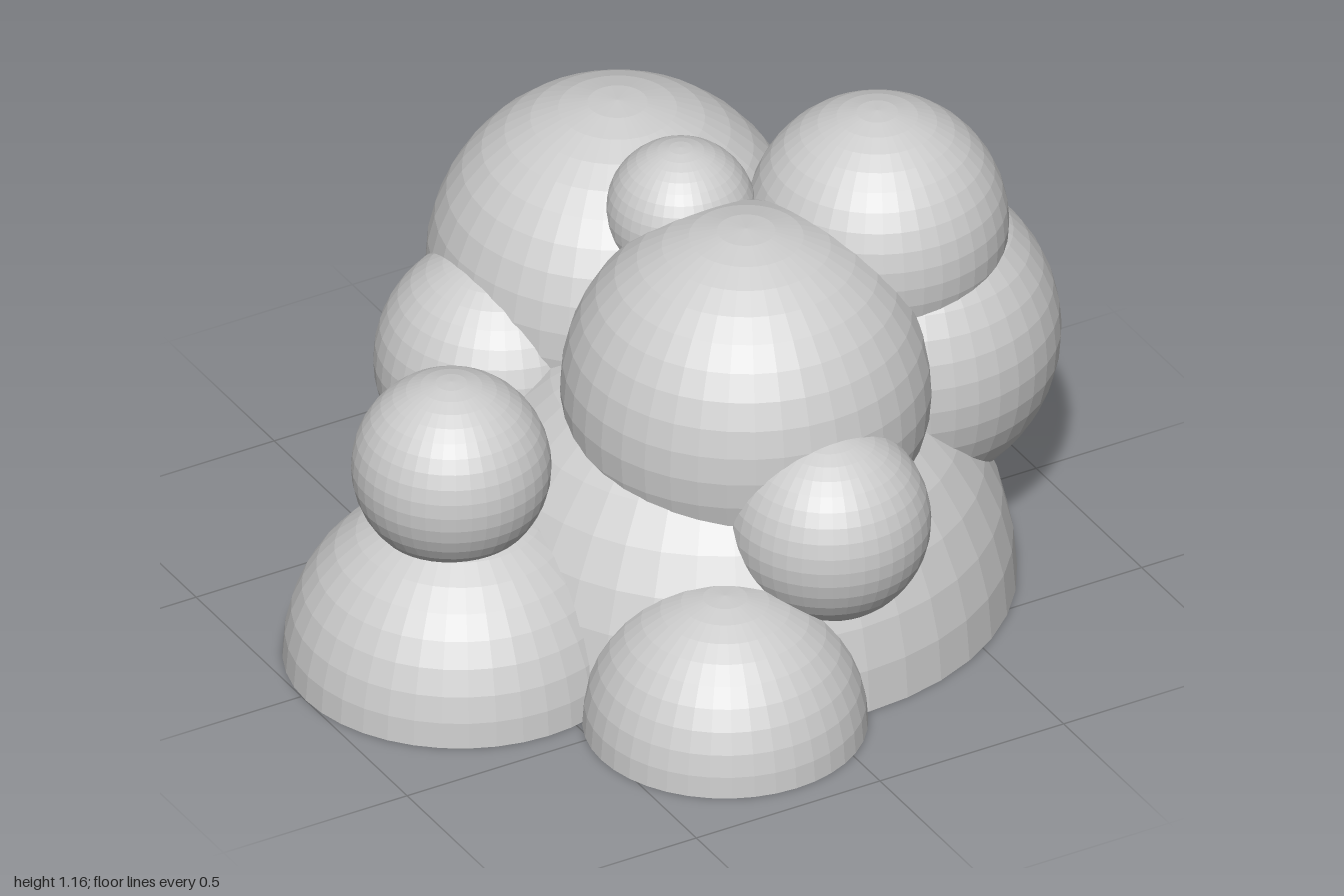
import * as THREE from 'three';

const material = new THREE.MeshStandardMaterial({ color: 0xcccccc, flatShading: true });
const COLUMNS = 40, ROWS = 20;

// Domes resting on the ground: name, radius, height, x, z
const domes = [
  ['baseDome', 0.695, 0.695, 0.13, 0.03],
  ['rightDome', 0.42, 0.42, -0.58, 0.02],
  ['frontDome', 0.338, 0.353, -0.187, 0.592],
];

// Full puffs stacked on the domes: name, radius, x, y, z
const puffs = [
  ['centrePuff', 0.44, 0.13, 0.59, 0.14],
  ['backPuff', 0.455, 0.135, 0.59, -0.478],
  ['backRightPuff', 0.3, -0.195, 0.435, -0.46],
  ['leftPuff', 0.388, 0.608, 0.536, 0.025],
  ['upperLeftPuff', 0.312, 0.553, 0.85, 0.025],
  ['smallRightPuff', 0.237, -0.605, 0.533, 0.022],
  ['smallFrontPuff', 0.243, 0.13, 0.43, 0.53],
  ['smallTopPuff', 0.18, 0.13, 0.905, -0.17],
];

// Half sphere closed by a flat underside
function makeDome(name, radius, height, x, z) {
  const dome = new THREE.Group();
  dome.name = name;
  const shell = new THREE.Mesh(
    new THREE.SphereGeometry(radius, COLUMNS, ROWS / 2, 0, Math.PI * 2, 0, Math.PI / 2), material);
  shell.name = name + 'Shell';
  shell.scale.y = height / radius;
  const underside = new THREE.Mesh(new THREE.CircleGeometry(radius, COLUMNS), material);
  underside.name = name + 'Underside';
  underside.rotation.x = Math.PI / 2;
  dome.add(shell, underside);
  dome.position.set(x, 0, z);
  return dome;
}

function makePuff(name, radius, x, y, z) {
  const puff = new THREE.Mesh(new THREE.SphereGeometry(radius, COLUMNS, ROWS), material);
  puff.name = name;
  puff.position.set(x, y, z);
  return puff;
}

export function createModel() {
  const model = new THREE.Group();
  model.name = 'puffCluster';
  for (const d of domes) model.add(makeDome(...d));
  for (const p of puffs) model.add(makePuff(...p));
  return model;
}
